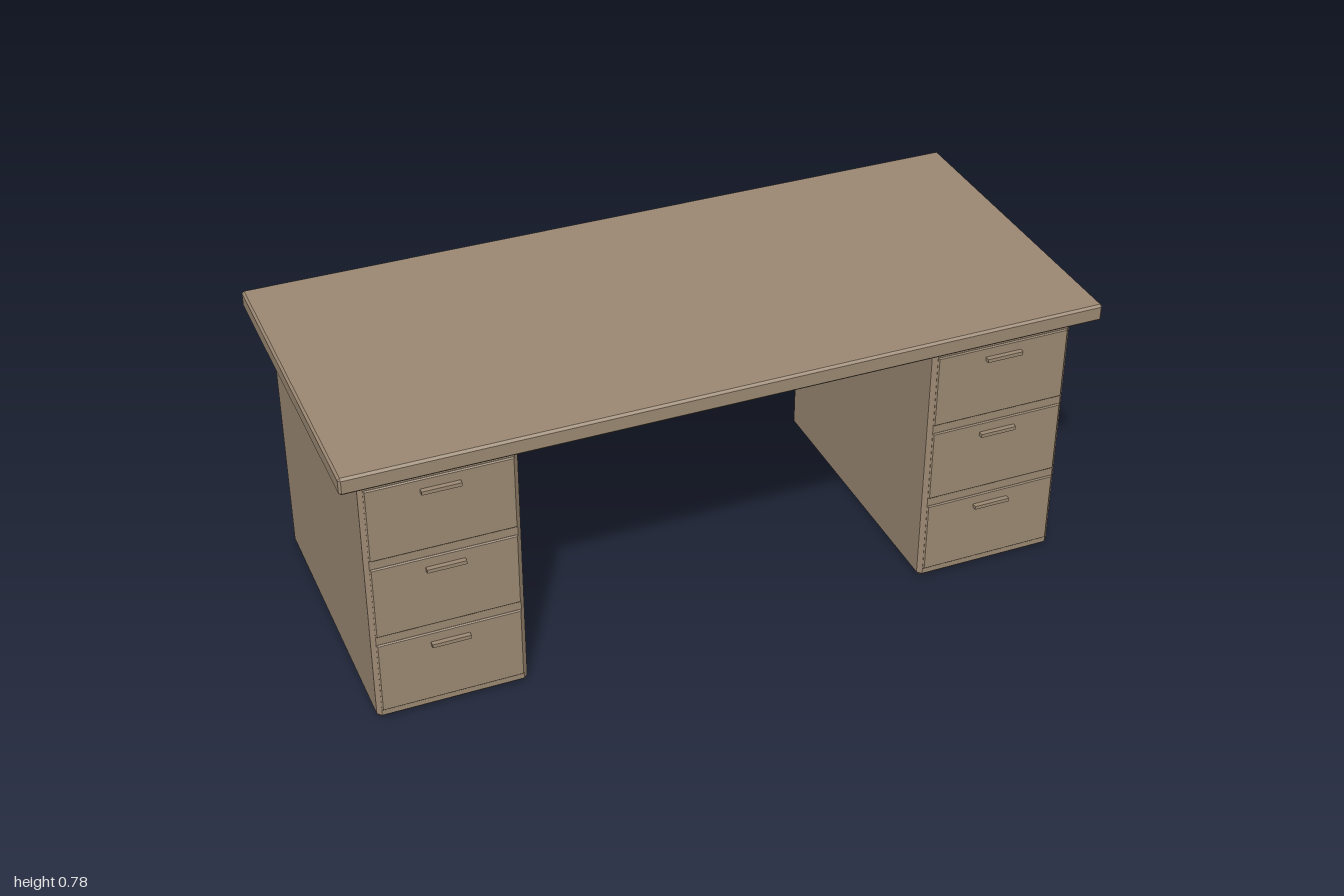
import * as THREE from 'three';
import { ConvexGeometry } from 'three/addons/geometries/ConvexGeometry.js';

// Box with chamfered edges: each corner is cut into three points.
function chamferBox(w, h, d, c) {
  const points = [];
  for (const sx of [-1, 1]) for (const sy of [-1, 1]) for (const sz of [-1, 1]) {
    for (let axis = 0; axis < 3; axis++) {
      const inset = [c, c, c];
      inset[axis] = 0;
      points.push(new THREE.Vector3(
        sx * (w / 2 - inset[0]), sy * (h / 2 - inset[1]), sz * (d / 2 - inset[2])));
    }
  }
  return new ConvexGeometry(points);
}

export function createModel() {
  const desk = new THREE.Group();
  desk.name = 'desk';

  const wood = new THREE.MeshStandardMaterial({ color: 0x9b8872 });
  wood.name = 'taupe wood';

  const add = (parent, name, geometry, x, y, z) => {
    const mesh = new THREE.Mesh(geometry, wood);
    mesh.name = name;
    mesh.position.set(x, y, z);
    parent.add(mesh);
  };

  // Desktop, floating just above the pedestals
  add(desk, 'desktop', chamferBox(2, 0.047, 0.9, 0.006), 0, 0.7525, 0);

  // Modesty panel across the back
  add(desk, 'modestyPanel', chamferBox(1.106, 0.5, 0.02, 0.004), 0, 0.45, -0.4);

  // Two pedestals with three drawers each
  const pedestalGeometry = chamferBox(0.394, 0.72, 0.8, 0.011);
  const drawerGeometry = chamferBox(0.372, 0.206, 0.014, 0.003);
  const handleGeometry = new THREE.BoxGeometry(0.1, 0.01, 0.015);
  for (const side of [-1, 1]) {
    const pedestal = new THREE.Group();
    pedestal.name = side > 0 ? 'leftPedestal' : 'rightPedestal';
    pedestal.position.x = side * 0.748;
    add(pedestal, 'cabinet', pedestalGeometry, 0, 0.36, 0);
    for (let i = 0; i < 3; i++) {
      const y = 0.13 + i * 0.23;
      add(pedestal, 'drawerFront', drawerGeometry, 0, y, 0.397);
      add(pedestal, 'drawerHandle', handleGeometry, 0, y + 0.07, 0.4095);
    }
    desk.add(pedestal);
  }
  return desk;
}
